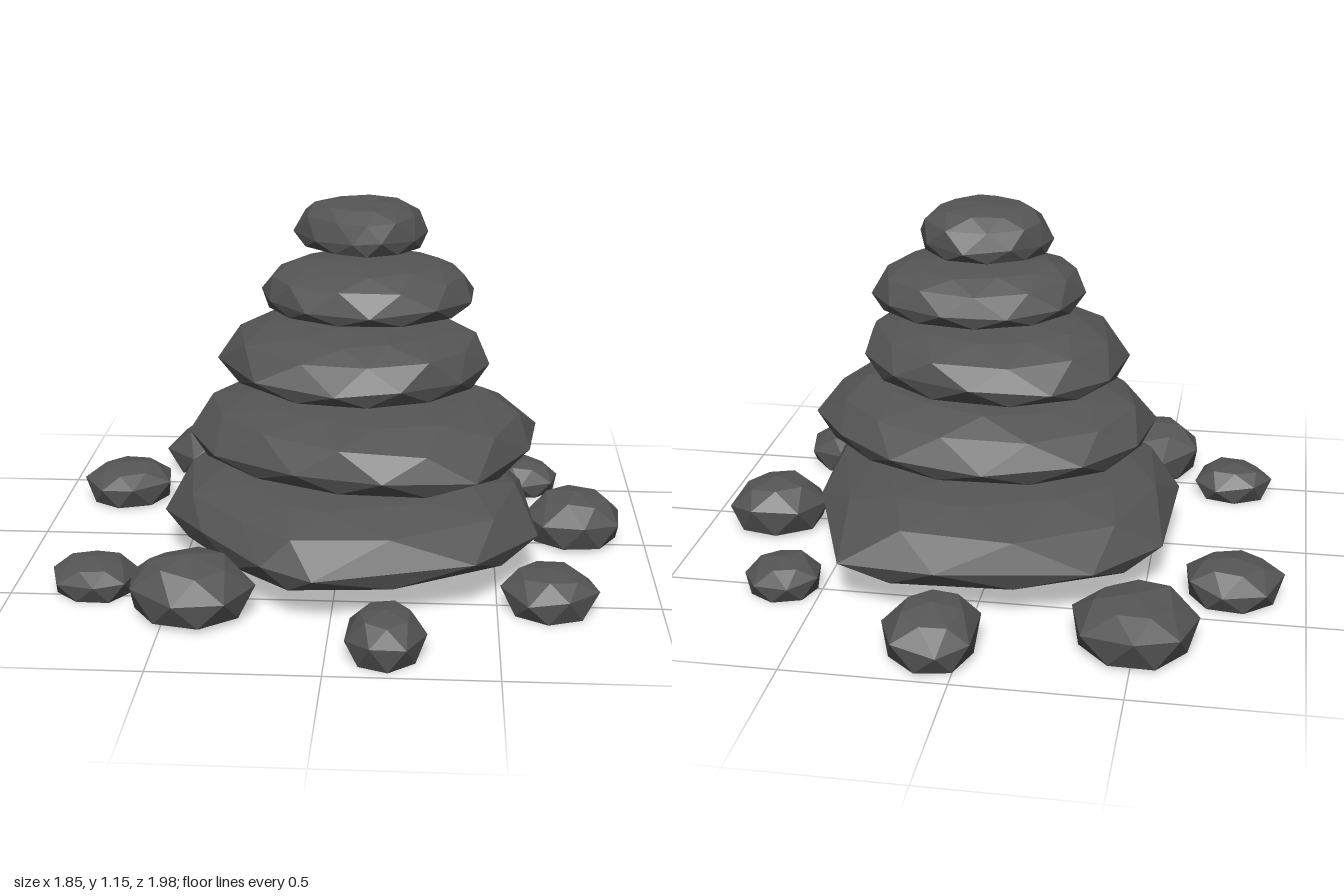
import * as THREE from 'three';

// Small repeatable noise in -1..1
const noise = (n) => {
  const s = Math.sin(n * 127.1 + 11.7) * 43758.5453;
  return (s - Math.floor(s)) * 2 - 1;
};

// Faceted stone lofted from an [x, z] outline; each ring turns half a step.
// rings: [scale, height fraction], second ring is the widest one.
function stoneGeometry(outline, y0, y1, rings, seed, rough) {
  const n = outline.length, h = y1 - y0;
  let cx = 0, cz = 0;
  for (const [x, z] of outline) { cx += x / n; cz += z / n; }
  const pts = outline
    .map(([x, z]) => [x - cx, z - cz])
    .sort((a, b) => Math.atan2(a[1], a[0]) - Math.atan2(b[1], b[0]));
  const at = (t) => pts[((t % n) + n) % n];

  const loops = rings.map(([scale, f], k) => {
    const loop = [];
    for (let i = 0; i < n; i++) {
      const t = i + Math.floor((k - 1) / 2);
      const a = at(t), b = (k - 1) % 2 ? at(t + 1) : a;
      const swell = a === b ? 1 : 1 / Math.cos(Math.PI / n);
      const jitter = k < 2 ? 0 : noise(seed * 31 + k * 17 + i) * rough;
      const s = scale * swell * (1 + jitter) / 2;
      const dy = k === 0 ? 0 : noise(seed * 13 + k * 7 + i) * rough * h * (k === 1 ? 1.2 : 0.7);
      loop.push([cx + (a[0] + b[0]) * s, y0 + f * h + dy, cz + (a[1] + b[1]) * s]);
    }
    return loop;
  });

  const tri = [];
  const base = [cx, y0, cz], apex = [cx, y1, cz];
  const last = loops[loops.length - 1];
  for (let i = 0; i < n; i++) {
    const j = (i + 1) % n;
    tri.push(base, loops[0][i], loops[0][j]);
    for (let k = 0; k + 1 < loops.length; k++) {
      const lo = loops[k], up = loops[k + 1];
      tri.push(lo[i], up[i], lo[j], lo[j], up[i], up[j]);
    }
    tri.push(last[i], apex, last[j]);
  }
  const geo = new THREE.BufferGeometry();
  geo.setAttribute('position', new THREE.Float32BufferAttribute(tri.flat(), 3));
  geo.computeVertexNormals();
  return geo;
}

export function createModel() {
  const group = new THREE.Group();
  const stone = new THREE.MeshStandardMaterial({ color: 0x555555, flatShading: true });
  stone.name = 'dark grey stone';
  const add = (name, geo) => {
    const mesh = new THREE.Mesh(geo, stone);
    mesh.name = name;
    group.add(mesh);
  };

  // Stacked flat slabs, bottom to top: [y0, y1, outline]
  const slabs = [
    [0.10, 0.31, [[0.11, -0.66], [0.42, -0.61], [0.59, -0.15], [0.63, 0.3], [0.43, 0.58], [-0.05, 0.71],
      [-0.21, 0.63], [-0.42, 0.38], [-0.57, 0.14], [-0.55, -0.32], [-0.36, -0.57]]],
    [0.36, 0.55, [[0.63, -0.03], [0.6, 0.22], [0.43, 0.54], [0.15, 0.58], [-0.12, 0.51], [-0.38, 0.33],
      [-0.49, 0.1], [-0.45, -0.17], [-0.3, -0.37], [0, -0.46], [0.3, -0.39], [0.5, -0.22]]],
    [0.60, 0.775, [[-0.4, 0.05], [-0.36, -0.2], [-0.2, -0.36], [0.05, -0.4], [0.3, -0.31], [0.44, -0.11],
      [0.47, 0.12], [0.38, 0.31], [0.2, 0.43], [0, 0.46], [-0.25, 0.35]]],
    [0.815, 0.965, [[-0.26, 0], [-0.22, 0.15], [-0.1, 0.27], [0.1, 0.33], [0.3, 0.26], [0.41, 0.1],
      [0.42, -0.08], [0.33, -0.22], [0.15, -0.31], [-0.05, -0.28], [-0.2, -0.17]]],
    [1.005, 1.145, [[-0.16, -0.03], [-0.08, 0.1], [0.04, 0.18], [0.13, 0.19], [0.23, 0.09], [0.27, -0.02],
      [0.22, -0.16], [0.09, -0.25], [-0.05, -0.2], [-0.13, -0.12]]],
  ];
  const slabRings = [[0.93, 0], [1, 0.27], [0.89, 0.68], [0.66, 0.91], [0.33, 0.985]];
  slabs.forEach(([y0, y1, outline], i) =>
    add(`slab${i + 1}`, stoneGeometry(outline, y0, y1, slabRings, i + 1, 0.05)));

  // Loose rocks around the base: [x, z, half width, half depth, y0, y1]
  const rocks = [
    [0.08, -0.83, 0.15, 0.17, 0.01, 0.165],
    [0.62, -0.51, 0.12, 0.12, 0, 0.11],
    [0.77, -0.05, 0.165, 0.15, 0.01, 0.17],
    [0.66, 0.51, 0.15, 0.14, 0, 0.13],
    [0.17, 0.84, 0.12, 0.15, 0, 0.135],
    [-0.42, 0.6, 0.19, 0.18, 0.015, 0.19],
    [-0.74, 0.455, 0.135, 0.125, 0, 0.11],
    [-0.775, -0.34, 0.155, 0.14, 0.005, 0.135],
    [-0.5, -0.685, 0.19, 0.195, 0.01, 0.17],
  ];
  const rockRings = [[0.86, 0], [1, 0.5], [0.64, 0.87]];
  rocks.forEach(([x, z, rx, rz, y0, y1], r) => {
    const outline = [];
    for (let i = 0; i < 7; i++) {
      const a = (i / 7) * Math.PI * 2 + r * 0.7 + noise(r * 9 + i) * 0.12;
      outline.push([x + Math.cos(a) * rx * 1.02, z + Math.sin(a) * rz * 1.02]);
    }
    add(`looseRock${r + 1}`, stoneGeometry(outline, y0, y1, rockRings, r + 20, 0.08));
  });
  return group;
}
